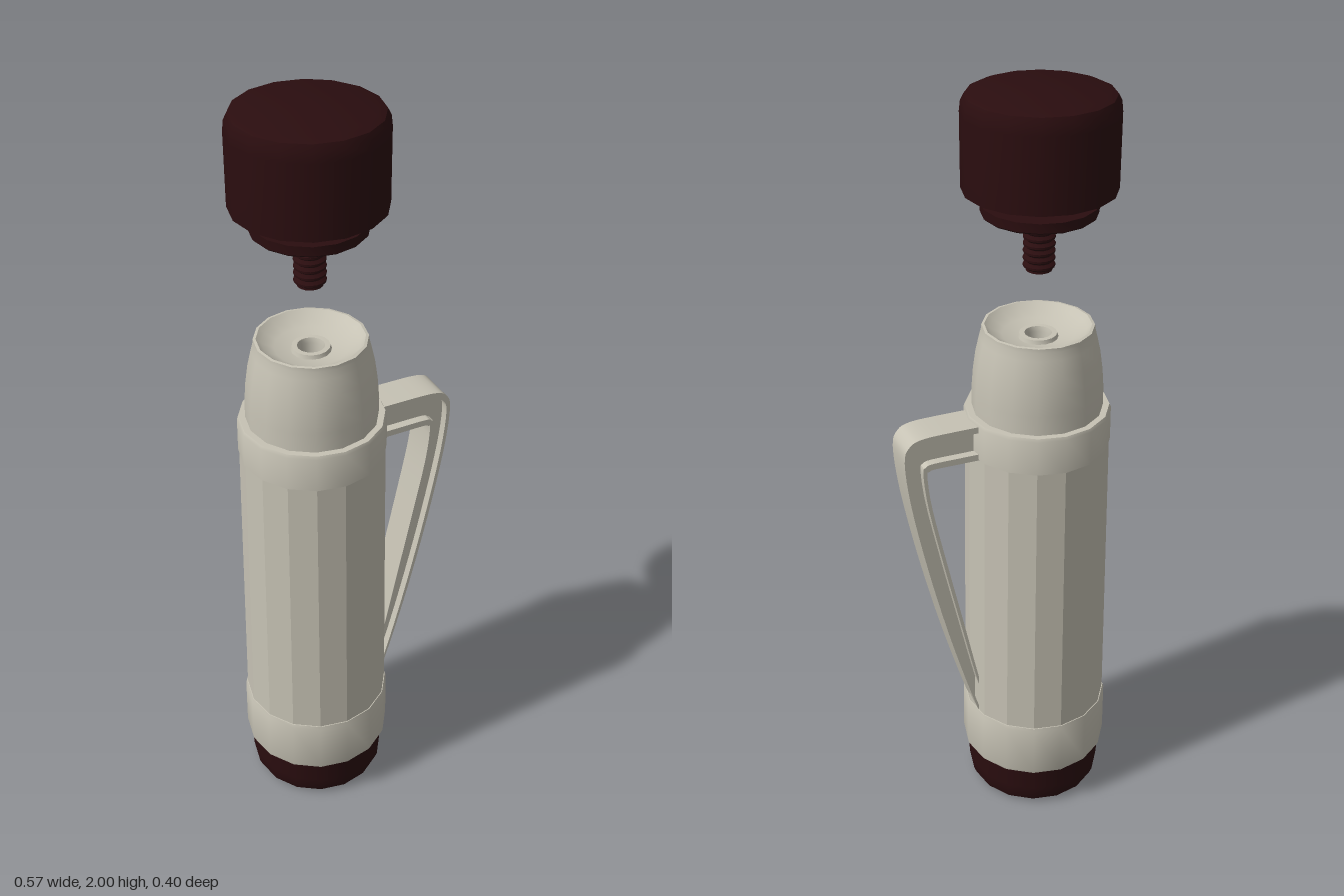
import * as THREE from 'three';
import { toCreasedNormals } from 'three/addons/utils/BufferGeometryUtils.js';

const AXIS_X = -0.086;
const SIDES = 16;

export function createModel() {
  const cream = new THREE.MeshStandardMaterial({ color: 0xc6c2b4 });
  cream.name = 'warm grey plastic';
  const maroon = new THREE.MeshStandardMaterial({ color: 0x2a0d0f });
  maroon.name = 'dark maroon plastic';
  const model = new THREE.Group();
  model.name = 'exploded vacuum flask';

  // Turned part from [radius, y] pairs, listed bottom to top along the outside
  function turned(name, profile, material, crease = 0.6) {
    const points = profile.map(([r, y]) => new THREE.Vector2(r, y));
    const geometry = toCreasedNormals(new THREE.LatheGeometry(points, SIDES), crease);
    const mesh = new THREE.Mesh(geometry, material);
    mesh.name = name;
    mesh.position.x = AXIS_X;
    model.add(mesh);
  }

  // Base and lower band
  turned('base', [[0, 0.005], [0.13, 0], [0.162, 0.003], [0.177, 0.012], [0.184, 0.03],
    [0.186, 0.06], [0.186, 0.14]], maroon);
  turned('lowerBand', [[0.17, 0.13], [0.198, 0.13], [0.2, 0.137], [0.199, 0.28],
    [0.196, 0.289], [0.18, 0.29]], cream);

  // Faceted, slightly tapered body
  turned('body', [[0.194, 0.27], [0.184, 1.12]], cream, 0.1);

  // Upper collar
  turned('collar', [[0.175, 1.1], [0.187, 1.1], [0.186, 1.192], [0.182, 1.2], [0.15, 1.2]], cream);

  // Shouldered neck with a dished mouth and small filler hole
  turned('neck', [[0.166, 1.19], [0.165, 1.25], [0.161, 1.3], [0.154, 1.35], [0.145, 1.39],
    [0.14, 1.41], [0.139, 1.42], [0.132, 1.421], [0.12, 1.41], [0.09, 1.395], [0.05, 1.388],
    [0.047, 1.398], [0.034, 1.398], [0.031, 1.385], [0.031, 1.28], [0, 1.28]], cream);

  // Stopper: ridged screw below a flanged disc
  const thread = [[0, 1.565], [0.032, 1.565]];
  for (let i = 0; i < 6; i++) {
    const y = 1.57 + i * 0.018;
    thread.push([0.031, y], [0.039, y + 0.006], [0.039, y + 0.011], [0.031, y + 0.017]);
  }
  turned('stopperScrew', [...thread, [0.031, 1.69]], maroon);
  turned('stopperDisc', [[0, 1.68], [0.06, 1.68], [0.072, 1.686], [0.092, 1.705], [0.136, 1.708],
    [0.14, 1.712], [0.14, 1.735], [0, 1.735]], maroon);

  // Hollow cup lid
  turned('cupLid', [[0, 1.97], [0.145, 1.965], [0.165, 1.95], [0.173, 1.92], [0.175, 1.77],
    [0.185, 1.77], [0.185, 1.95], [0.182, 1.975], [0.174, 1.99], [0.155, 1.998], [0, 2]], maroon);

  // Handle: outer and inner edges, sampled point for point
  const sample = (pairs) =>
    new THREE.SplineCurve(pairs.map(([x, y]) => new THREE.Vector2(x, y))).getPoints((pairs.length - 1) * 4);
  const outer = sample([[0.06, 1.192], [0.15, 1.192], [0.235, 1.189], [0.27, 1.173], [0.284, 1.13],
    [0.271, 1.0], [0.233, 0.8], [0.187, 0.6], [0.142, 0.43], [0.102, 0.295], [0.085, 0.25]]);
  const inner = sample([[0.06, 1.097], [0.13, 1.097], [0.205, 1.097], [0.221, 1.093], [0.227, 1.08],
    [0.216, 0.98], [0.18, 0.8], [0.14, 0.61], [0.105, 0.44], [0.085, 0.35], [0.075, 0.3]]);

  // Strip between two fractions of the way from outer to inner edge
  const handle = new THREE.Group();
  handle.name = 'handle';
  function strip(name, from, to, width) {
    const edge = (t) => outer.map((p, i) => p.clone().lerp(inner[i], t));
    const shape = new THREE.Shape([...edge(from), ...edge(to).reverse()]);
    const geometry = new THREE.ExtrudeGeometry(shape, { depth: width, bevelEnabled: false });
    geometry.translate(0, 0, -width / 2);
    const mesh = new THREE.Mesh(toCreasedNormals(geometry, 0.6), cream);
    mesh.name = name;
    handle.add(mesh);
  }
  strip('handleOuterRim', 0, 0.18, 0.094);
  strip('handleWeb', 0.15, 0.85, 0.05);
  strip('handleInnerRim', 0.82, 1, 0.094);
  model.add(handle);

  return model;
}
